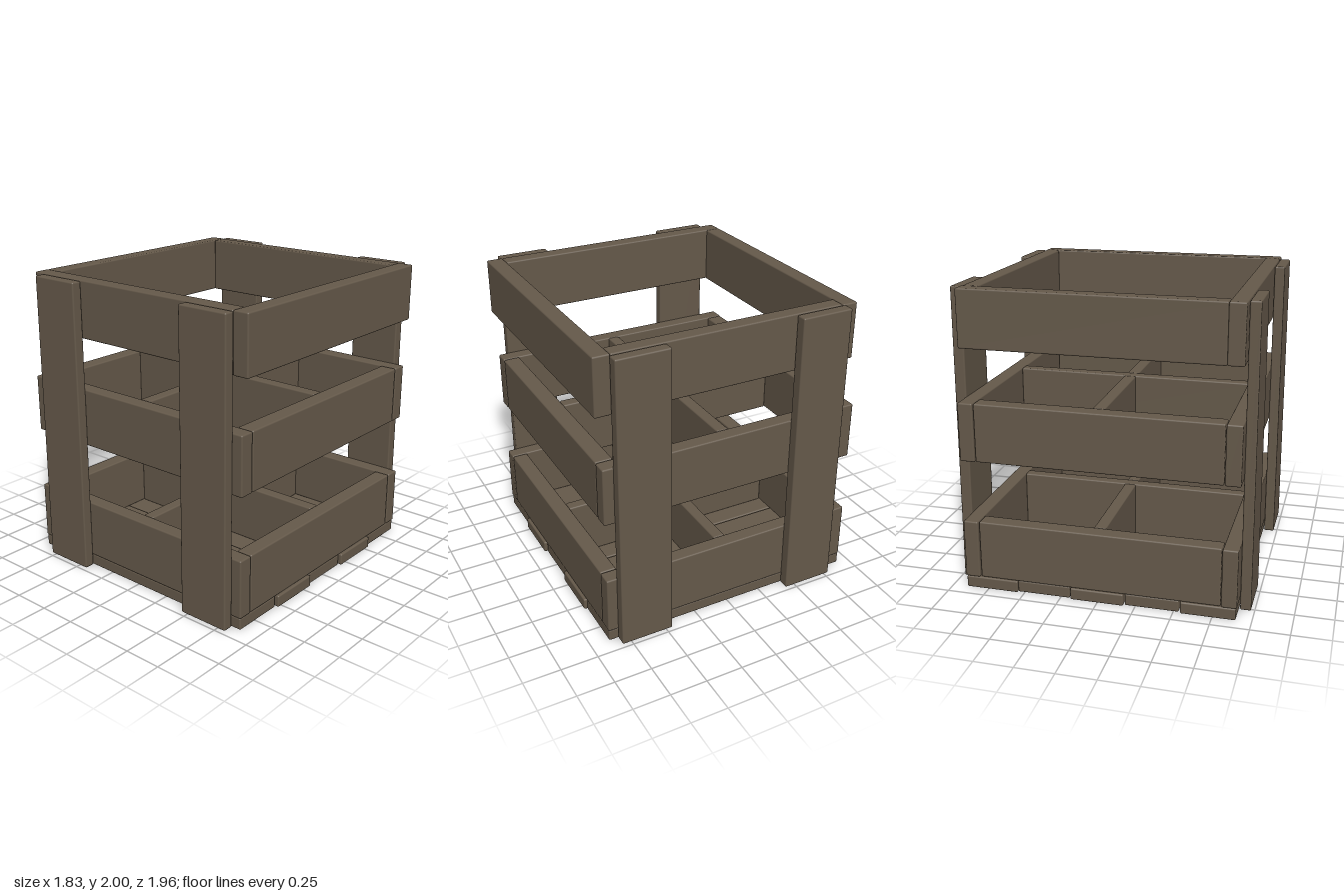
import * as THREE from 'three';
import { RoundedBoxGeometry } from 'three/addons/geometries/RoundedBoxGeometry.js';

export function createModel() {
  const crate = new THREE.Group();
  crate.name = 'crate';
  const wood = new THREE.MeshStandardMaterial({ color: 0x65594a });
  wood.name = 'brown wood';

  // A board with softened edges, given by its extents on each axis
  function board(name, [x0, x1], [y0, y1], [z0, z1], parent = crate) {
    const geometry = new RoundedBoxGeometry(x1 - x0, y1 - y0, z1 - z0, 2, 0.01);
    const mesh = new THREE.Mesh(geometry, wood);
    mesh.name = name;
    mesh.position.set((x0 + x1) / 2, (y0 + y1) / 2, (z0 + z1) / 2);
    parent.add(mesh);
    return mesh;
  }

  // Floor planks, with uneven ends
  [-0.9, -0.545, -0.182, 0.18, 0.545].forEach((z, i) => {
    const odd = i % 2;
    board('floorPlank', odd ? [-0.9, 0.895] : [-0.915, 0.875], [0, 0.08], [z, z + 0.355]);
  });

  // Lower and middle tiers: long front and back boards, sides and dividers between
  for (const [name, y, x0, x1] of [['lower', [0.08, 0.475], -0.915, 0.88], ['middle', [0.89, 1.28], -0.91, 0.885]]) {
    const tier = new THREE.Group();
    tier.name = name + 'Tier';
    crate.add(tier);
    board('frontBoard', [x0, x1], y, [0.805, 0.905], tier);
    board('backBoard', [x0, x1], y, [-0.905, -0.805], tier);
    board('leftBoard', [0.77, x1 - 0.002], y, [-0.8, 0.8], tier);
    board('rightBoard', [-0.905, -0.795], y, [-0.8, 0.8], tier);
    board('lengthDivider', [-0.02, 0.06], y, [-0.805, 0.805], tier);
    board('crossDivider', [-0.795, -0.02], y, [-0.05, 0.03], tier);
    board('crossDivider', [0.06, 0.77], y, [-0.05, 0.03], tier);
  }

  // Top tier: boards lapped around the corners
  const top = new THREE.Group();
  top.name = 'topTier';
  crate.add(top);
  const topY = [1.62, 2];
  board('frontBoard', [-0.865, 0.805], topY, [0.79, 0.895], top);
  board('backBoard', [-0.76, 0.805], topY, [-0.89, -0.79], top);
  board('leftBoard', [0.805, 0.915], topY, [-0.89, 0.895], top);
  board('rightBoard', [-0.865, -0.76], topY, [-0.9, 0.79], top);

  // Upright slats, leaning slightly inwards
  for (const side of [1, -1]) {
    for (const x of [[-0.78, -0.425], [0.46, 0.815]]) {
      const z = side > 0 ? [0.903, 0.973] : [-0.973, -0.898];
      const slat = board(side > 0 ? 'frontSlat' : 'backSlat', x, [0.005, 1.995], z);
      slat.rotation.x = -side * 0.005;
    }
  }
  return crate;
}
